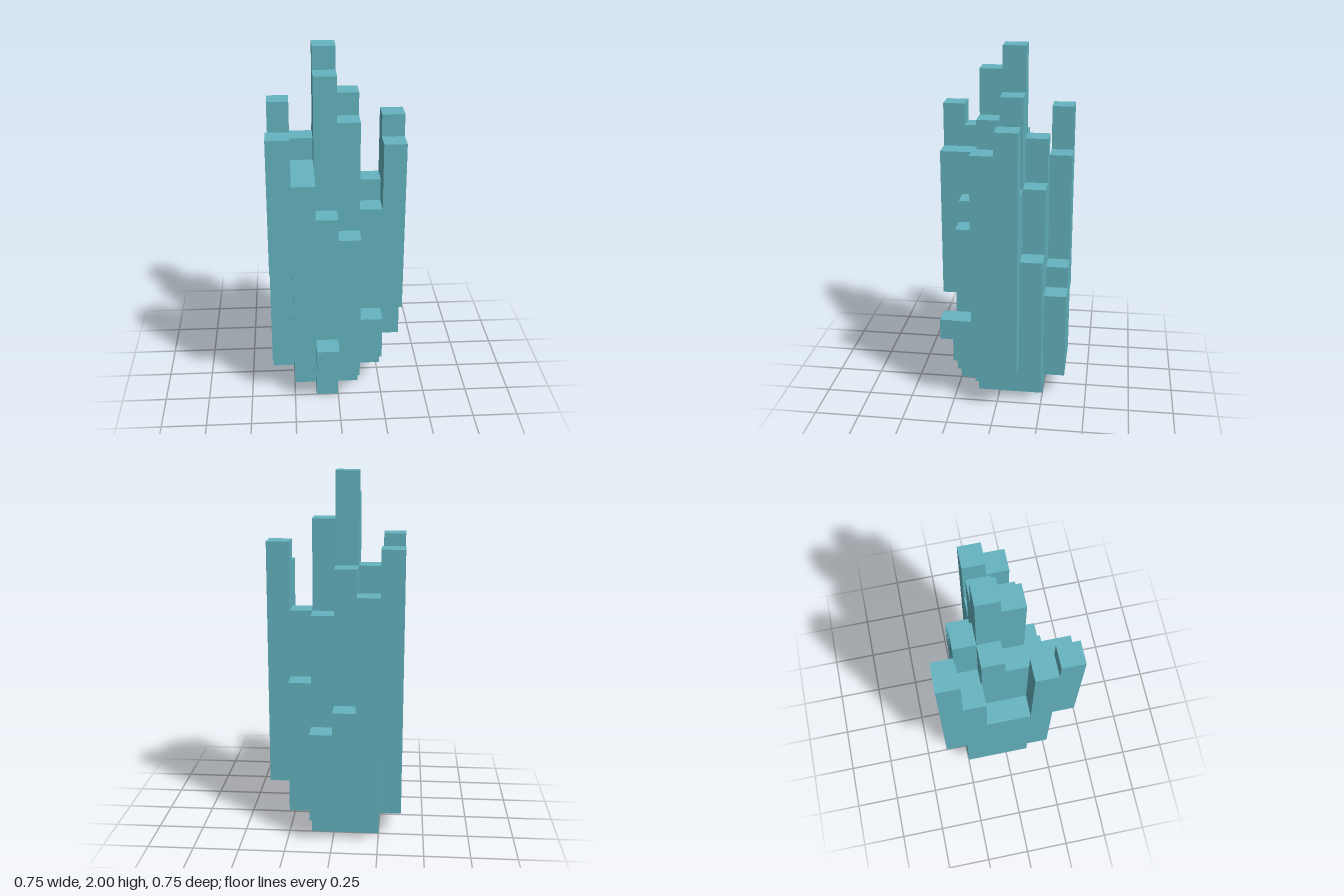
import * as THREE from 'three';
import { mergeGeometries } from 'three/addons/utils/BufferGeometryUtils.js';

const U = 0.125; // block size

// [bottom, top] of every column in blocks; rows run back to front, columns from -x to +x
const COLUMNS = [
  [[4, 13], [1, 11], [1, 6], [1, 5], null, null],
  [[1, 10], [0, 9], [0, 12], [0, 10], [1, 7], null],
  [[1, 7], [0, 12], [0, 16], [0, 14], [1, 10], [2, 13]],
  [[1, 7], [0, 11], [0, 15], [0, 13], [1, 9], [4, 12]],
  [[2, 12], [1, 11], [0, 9], [1, 8], [2, 4], null],
  [[7, 13], [4, 11], [2, 3], null, null, null],
];
const ROW_NAMES = ['backRow', 'rearInnerRow', 'rearCoreRow', 'frontCoreRow', 'frontInnerRow', 'frontRow'];
const SIDES = [[1, 0], [-1, 0], [0, 1], [0, -1]];

// Outer skin of one column: caps plus the wall stretches its neighbours leave bare
function columnGeometry(i, k) {
  const [lo, hi] = COLUMNS[k][i];
  const x = (i - 2.5) * U, z = (k - 2.5) * U;
  const faces = [
    new THREE.PlaneGeometry(U, U).rotateX(-Math.PI / 2).translate(x, hi * U, z),
    new THREE.PlaneGeometry(U, U).rotateX(Math.PI / 2).translate(x, lo * U, z),
  ];
  for (const [dx, dz] of SIDES) {
    const next = COLUMNS[k + dz]?.[i + dx];
    const bare = next
      ? [[lo, Math.min(hi, next[0])], [Math.max(lo, next[1]), hi]]
      : [[lo, hi]];
    for (const [a, b] of bare) {
      if (b <= a) continue;
      faces.push(new THREE.PlaneGeometry(U, (b - a) * U)
        .rotateY(Math.atan2(dx, dz))
        .translate(x + dx * U / 2, (a + b) / 2 * U, z + dz * U / 2));
    }
  }
  return mergeGeometries(faces);
}

export function createModel() {
  const model = new THREE.Group();
  model.name = 'crystalCluster';
  const crystal = new THREE.MeshStandardMaterial({ color: 0x64b4c0 });
  crystal.name = 'tealCrystal';

  COLUMNS.forEach((row, k) => {
    const group = new THREE.Group();
    group.name = ROW_NAMES[k];
    row.forEach((span, i) => {
      if (!span) return;
      const mesh = new THREE.Mesh(columnGeometry(i, k), crystal);
      mesh.name = span[1] - span[0] === 1 ? 'crystalStub' : 'crystalColumn';
      group.add(mesh);
    });
    model.add(group);
  });
  return model;
}
